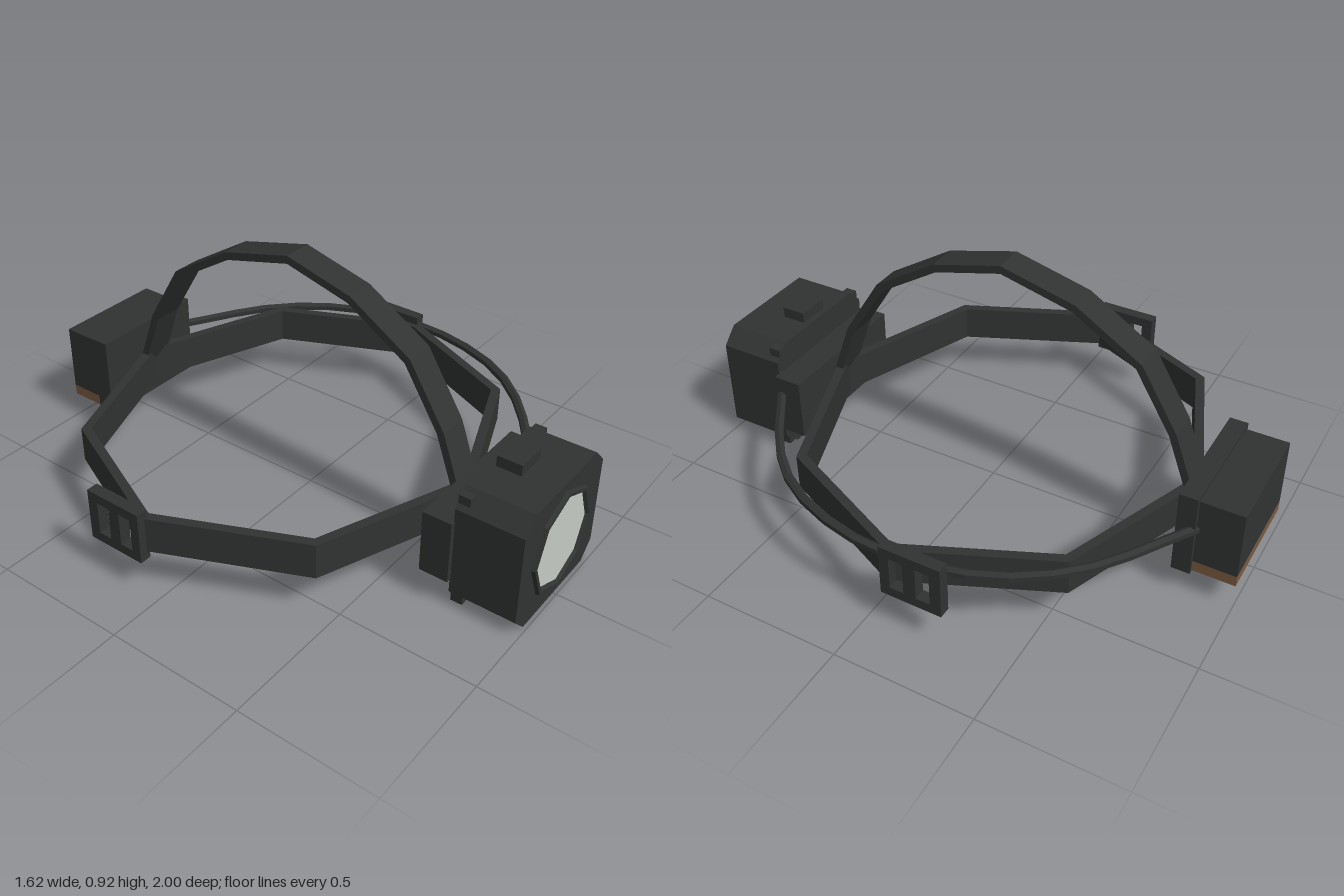
import * as THREE from 'three';

const dark = new THREE.MeshStandardMaterial({ color: 0x303332, flatShading: true });
const darkDouble = new THREE.MeshStandardMaterial({ color: 0x303332, flatShading: true, side: THREE.DoubleSide });
const glass = new THREE.MeshStandardMaterial({ color: 0xc4cac4, flatShading: true });
const brown = new THREE.MeshStandardMaterial({ color: 0x7a5a42, flatShading: true });

const toShape = pts => new THREE.Shape(pts.map(p => new THREE.Vector2(p[0], p[1])));

// Extrusion centred on its depth axis
function slab(shape, depth) {
  return new THREE.ExtrudeGeometry(shape, { depth, bevelEnabled: false }).translate(0, 0, -depth / 2);
}

export function createModel() {
  const group = new THREE.Group();

  function add(name, geometry, material = dark) {
    const mesh = new THREE.Mesh(geometry, material);
    mesh.name = name;
    group.add(mesh);
    return mesh;
  }

  // Box given by its limits on each axis
  function box(name, [x0, x1], [y0, y1], [z0, z1], material) {
    const g = new THREE.BoxGeometry(x1 - x0, y1 - y0, z1 - z0);
    g.translate((x0 + x1) / 2, (y0 + y1) / 2, (z0 + z1) / 2);
    return add(name, g, material);
  }

  // Eight-sided head band
  const ring = (rx, rz) => Array.from({ length: 8 }, (_, i) => {
    const a = i * Math.PI / 4;
    return [rx * Math.cos(a), -0.065 + rz * Math.sin(a)];
  });
  const bandShape = toShape(ring(0.785, 0.725));
  bandShape.holes.push(toShape(ring(0.75, 0.69)));
  add('headBand', slab(bandShape, 0.13).rotateX(Math.PI / 2).translate(0, 0.225, 0));

  // Strap over the crown, profile in z and y
  const outer = [[0.65, 0.27], [0.575, 0.48], [0.435, 0.703], [0.2, 0.85], [-0.055, 0.917],
    [-0.325, 0.85], [-0.565, 0.703], [-0.7, 0.48], [-0.785, 0.25]];
  const inner = outer.map(([z, y]) => [-0.06 + (z + 0.06) * 0.96, 0.2 + (y - 0.2) * 0.96]).reverse();
  add('crownStrap', slab(toShape([...outer, ...inner]), 0.11).rotateY(-Math.PI / 2));

  // Lamp housing with cut corners
  const w = 0.255, h = 0.445, c = 0.058;
  const housing = toShape([[-w + c, 0], [w - c, 0], [w, c], [w, h - c], [w - c, h], [-w + c, h], [-w, h - c], [-w, c]]);
  add('lampHousing', slab(housing, 0.24).translate(0, 0, 0.867));
  box('lampMount', [-0.275, 0.275], [0.11, 0.34], [0.645, 0.75]);
  box('switchButton', [-0.06, 0.06], [0.44, 0.485], [0.77, 0.86]);

  // Small lugs at the rear corners of the housing
  for (const s of [-1, 1]) {
    for (const y of [0.032, 0.413]) {
      box('cornerLug', [s * 0.22 - 0.02, s * 0.22 + 0.02], [y - 0.02, y + 0.02], [0.747, 0.79]);
    }
  }

  // Eight-sided bezel and lens
  const rim = [[0.19, 0.985], [0.186, 1.0], [0.173, 1.0], [0.16, 0.987]].map(p => new THREE.Vector2(...p));
  add('bezel', new THREE.LatheGeometry(rim, 8).rotateX(Math.PI / 2).translate(0, 0.223, 0), darkDouble);
  add('lens', new THREE.CircleGeometry(0.163, 8).translate(0, 0.223, 0.99), glass);

  // Battery case at the back
  box('batteryPlate', [-0.225, 0.225], [0.09, 0.4], [-0.85, -0.785]);
  box('batteryCase', [-0.21, 0.21], [0.135, 0.385], [-1, -0.85]);
  box('batteryBase', [-0.21, 0.21], [0.095, 0.135], [-1, -0.85], brown);

  // Side buckles with two slots
  const rect = (z0, z1, y0, y1) => [[z0, y0], [z1, y0], [z1, y1], [z0, y1]];
  for (const s of [-1, 1]) {
    const buckle = toShape(rect(-0.275, -0.055, 0.13, 0.32));
    buckle.holes.push(toShape(rect(-0.235, -0.185, 0.165, 0.285)), toShape(rect(-0.14, -0.09, 0.165, 0.285)));
    add(s > 0 ? 'leftBuckle' : 'rightBuckle', slab(buckle, 0.042).rotateY(-Math.PI / 2).translate(s * 0.789, 0, 0));
  }

  // Power cable along the left side
  const path = new THREE.CatmullRomCurve3([[0.25, 0.265, 0.745], [0.55, 0.272, 0.52], [0.7, 0.278, 0.32],
    [0.785, 0.28, 0], [0.735, 0.28, -0.35], [0.56, 0.275, -0.61], [0.2, 0.268, -0.85]]
    .map(p => new THREE.Vector3(...p)));
  add('cable', new THREE.TubeGeometry(path, 16, 0.017, 6), darkDouble);

  return group;
}
